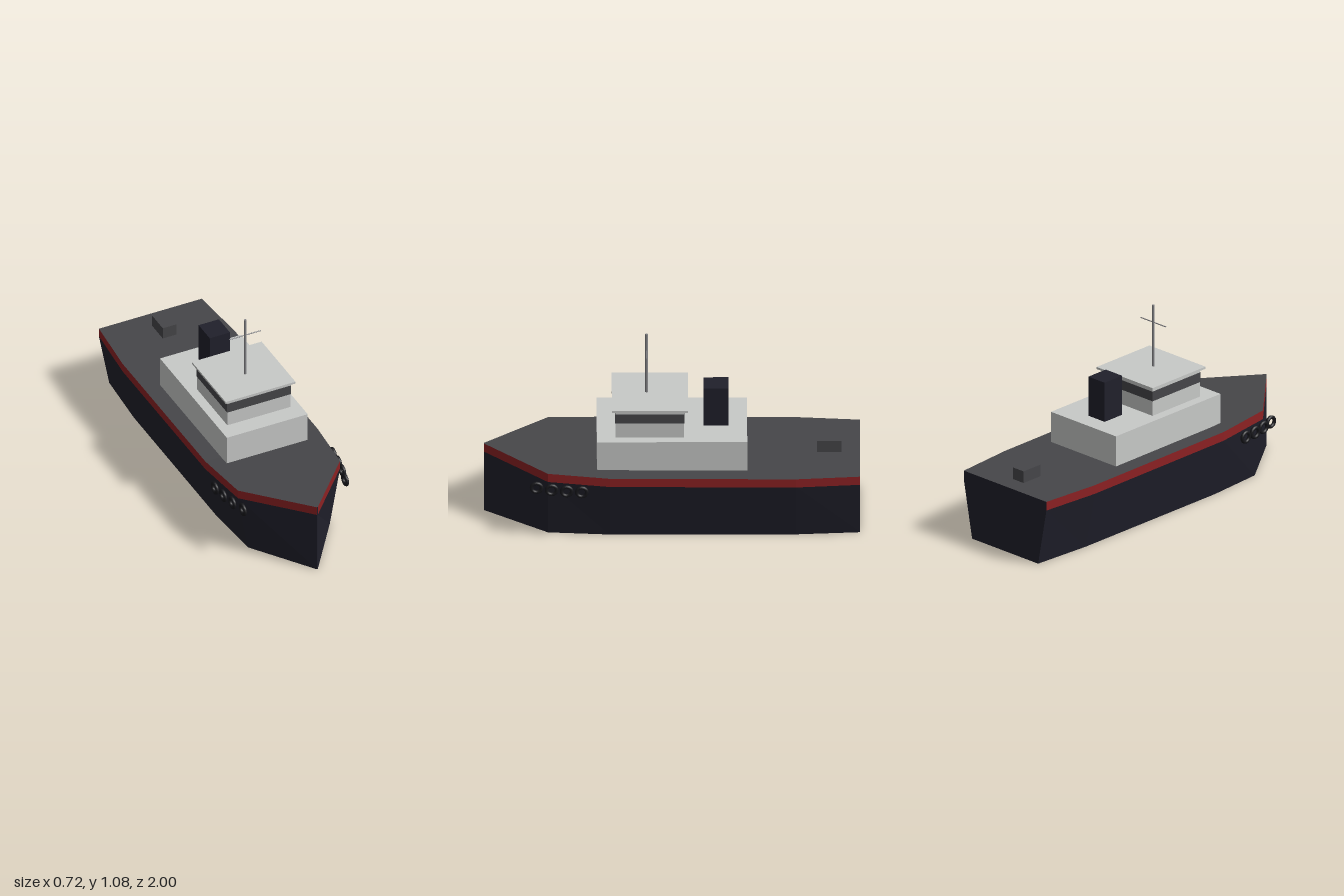
import * as THREE from 'three';

const mat = (name, color) => {
  const m = new THREE.MeshStandardMaterial({ color });
  m.name = name;
  return m;
};

// Hull stations: z, half width at the deck, deck height
const STATIONS = [
  [-1, 0.305, 0.375], [-0.66, 0.333, 0.375], [0.33, 0.333, 0.379],
  [0.66, 0.303, 0.393], [1, 0.003, 0.408],
];
const KEEL = 0.8;   // bottom width relative to the deck
const BAND = 0.05;  // height of the painted bulwark stripe

// Flat-shaded geometry from four-cornered faces
function facets(quads) {
  const p = [];
  for (const [a, b, c, d] of quads) p.push(...a, ...b, ...c, ...a, ...c, ...d);
  const g = new THREE.BufferGeometry();
  g.setAttribute('position', new THREE.Float32BufferAttribute(p, 3));
  g.computeVertexNormals();
  return g;
}

export function createModel() {
  const navy = mat('navy', 0x20202b);
  const red = mat('red', 0x8c2123);
  const grey = mat('deck grey', 0x464649);
  const white = mat('off white', 0xc8cac8);
  const steel = mat('steel', 0x87878a);
  const rubber = mat('rubber', 0x17171b);

  const model = new THREE.Group();
  model.name = 'tugboat';
  const add = (name, geo, material, x = 0, y = 0, z = 0, parent = model) => {
    const m = new THREE.Mesh(geo, material);
    m.name = name;
    m.position.set(x, y, z);
    parent.add(m);
    return m;
  };
  // Box given by half width, vertical range and lengthwise range
  const box = (name, material, hx, y0, y1, z0, z1) =>
    add(name, new THREE.BoxGeometry(hx * 2, y1 - y0, z1 - z0), material,
      0, (y0 + y1) / 2, (z0 + z1) / 2);

  // Hull sides, stripe, deck and bottom between neighbouring stations
  const hull = [], stripe = [], deck = [];
  const bottom = ([z, w], s) => [s * w * KEEL, 0, z];
  const waist = ([z, w, h], s) => [s * w, h - BAND, z];
  const top = ([z, w, h], s) => [s * w, h, z];
  for (let i = 0; i < STATIONS.length - 1; i++) {
    const a = STATIONS[i], b = STATIONS[i + 1];
    for (const s of [1, -1]) {
      const side = (lo, hi) => {
        const q = [lo(a, s), hi(a, s), hi(b, s), lo(b, s)];
        return s > 0 ? q : q.reverse();
      };
      hull.push(side(bottom, waist));
      stripe.push(side(waist, top));
    }
    deck.push([top(a, -1), top(b, -1), top(b, 1), top(a, 1)]);
    hull.push([bottom(a, 1), bottom(b, 1), bottom(b, -1), bottom(a, -1)]);
  }
  // Transom and narrow stem
  const stern = STATIONS[0], bow = STATIONS[STATIONS.length - 1];
  hull.push([bottom(stern, 1), bottom(stern, -1), waist(stern, -1), waist(stern, 1)]);
  hull.push([waist(stern, 1), waist(stern, -1), top(stern, -1), top(stern, 1)]);
  hull.push([bottom(bow, -1), bottom(bow, 1), waist(bow, 1), waist(bow, -1)]);
  hull.push([waist(bow, -1), waist(bow, 1), top(bow, 1), top(bow, -1)]);
  add('hull', facets(hull), navy);
  add('bulwarkStripe', facets(stripe), red);
  add('deck', facets(deck), grey);

  // Superstructure
  box('cabin', white, 0.24, 0.36, 0.55, -0.4, 0.4);
  box('wheelhouse', white, 0.187, 0.55, 0.71, -0.065, 0.3);
  box('windowBand', grey, 0.189, 0.635, 0.69, -0.067, 0.302);
  box('wheelhouseRoof', white, 0.207, 0.71, 0.722, -0.085, 0.32);
  box('funnel', navy, 0.06, 0.55, 0.776, -0.3, -0.167);
  box('winchBox', grey, 0.04, 0.37, 0.442, -0.9, -0.77);

  // Mast and crossbar
  add('mast', new THREE.CylinderGeometry(0.007, 0.007, 0.355, 12), steel, 0, 0.8975, 0.135);
  const bar = add('mastCrossbar', new THREE.CylinderGeometry(0.003, 0.003, 0.186, 8),
    steel, 0, 0.975, 0.135);
  bar.rotation.z = Math.PI / 2;

  // Tyre fenders along both bows
  const tyre = new THREE.TorusGeometry(0.027, 0.01, 8, 16).rotateY(Math.PI / 2);
  const tyres = [[0.303, 0.72], [0.326, 0.64], [0.341, 0.56], [0.35, 0.48]];
  for (const s of [1, -1]) {
    const row = new THREE.Group();
    row.name = s > 0 ? 'leftFenders' : 'rightFenders';
    model.add(row);
    for (const [x, z] of tyres) add('tyreFender', tyre, rubber, s * x, 0.308, z, row);
  }
  return model;
}
